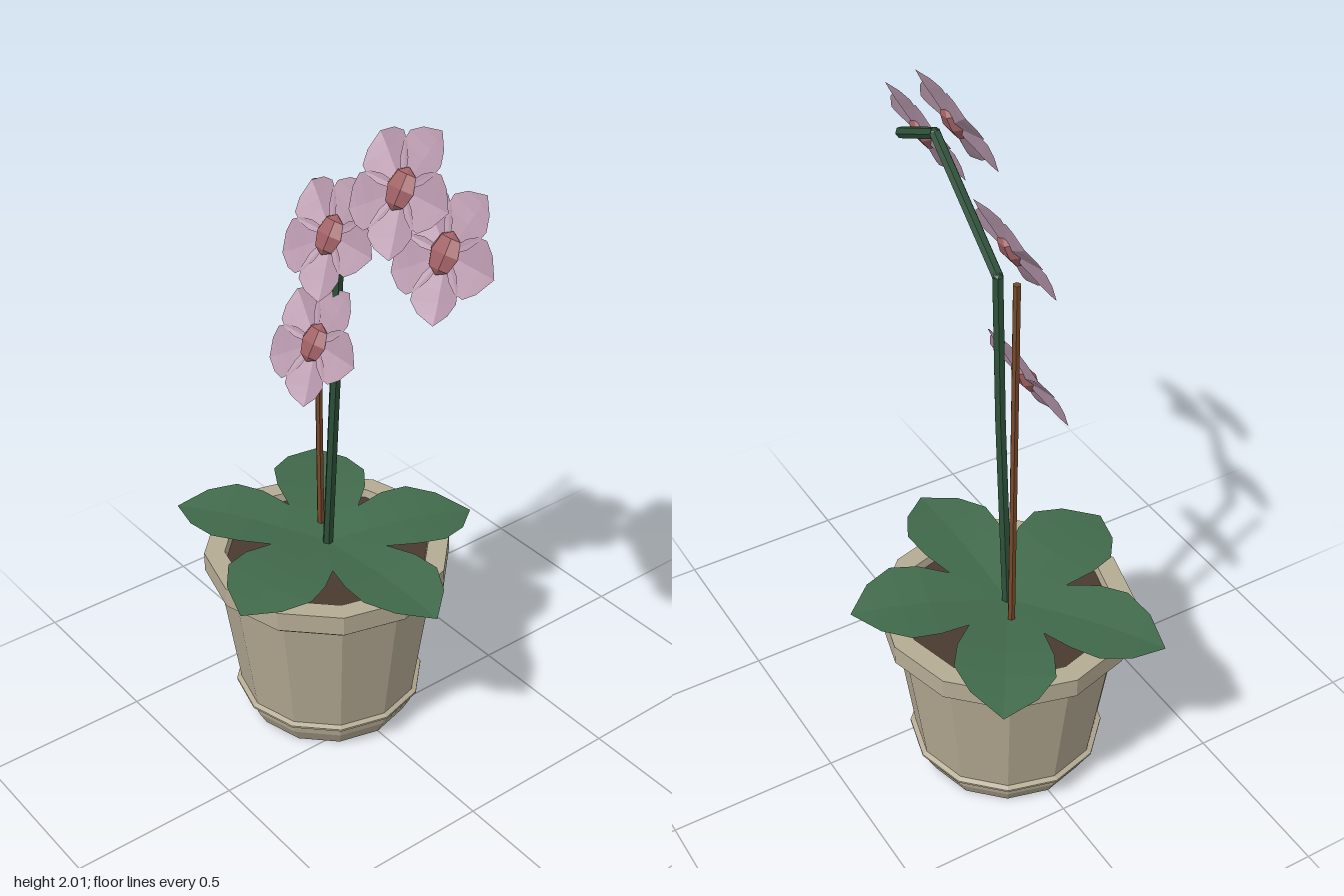
import * as THREE from 'three';

const mat = (color, side = THREE.FrontSide) =>
  new THREE.MeshStandardMaterial({ color, side, flatShading: true });

const potMat = mat(0xb5ab94);
const soilMat = mat(0x4a3a30);
const leafMat = mat(0x416a4b, THREE.DoubleSide);
const petalMat = mat(0xb697ab, THREE.DoubleSide);
const heartMat = mat(0xa06064);
const stemMat = mat(0x2d5039);
const stakeMat = mat(0x76492b);

const POT_X = -0.177;

function add(parent, name, geometry, material) {
  const mesh = new THREE.Mesh(geometry, material);
  mesh.name = name;
  parent.add(mesh);
  return mesh;
}

// Arched blade along +x with a folded midrib, used for leaves and petals
const ALONG = [0, 0.15, 0.3, 0.5, 0.68, 0.85, 1];
const WIDTH = [0.03, 0.42, 0.74, 0.96, 1, 0.66, 0];
const RISE = [0, 0.025, 0.045, 0.066, 0.07, 0.058, 0.036];

function bladeGeometry(length, halfWidth, fold) {
  const geo = new THREE.PlaneGeometry(1, 1, 4, ALONG.length - 1);
  const p = geo.attributes.position;
  for (let i = 0; i < p.count; i++) {
    const row = Math.floor(i / 5);
    const side = (i % 5) / 2 - 1;
    const lift = fold * WIDTH[row] * (Math.abs(side) - 0.6);
    p.setXYZ(i, ALONG[row] * length, RISE[row] * length + lift, side * WIDTH[row] * halfWidth);
  }
  geo.computeVertexNormals();
  return geo;
}

// Five blades spread evenly around a centre
function rosette(parent, name, geometry, material) {
  for (let i = 0; i < 5; i++) {
    add(parent, name, geometry, material).rotation.y = (i * Math.PI * 2) / 5;
  }
}

// Straight rod between two points
function rod(parent, name, a, b, radius, material) {
  const dir = b.clone().sub(a);
  const mesh = add(parent, name, new THREE.CylinderGeometry(radius, radius, dir.length(), 6), material);
  mesh.position.copy(a).add(b).multiplyScalar(0.5);
  mesh.quaternion.setFromUnitVectors(new THREE.Vector3(0, 1, 0), dir.normalize());
}

function createPot() {
  const pot = new THREE.Group();
  pot.name = 'pot';
  pot.position.x = POT_X;
  // Foot, ring, tapered wall, rim and inner lip
  const profile = [
    [0, 0], [0.24, 0], [0.264, 0.045], [0.269, 0.073], [0.284, 0.078], [0.284, 0.084],
    [0.27, 0.09], [0.325, 0.478], [0.344, 0.484], [0.348, 0.496], [0.363, 0.5],
    [0.363, 0.56], [0.303, 0.56], [0.296, 0.525],
  ].map(([r, y]) => new THREE.Vector2(r, y));
  add(pot, 'potBody', new THREE.LatheGeometry(profile, 12), potMat);
  const soil = add(pot, 'soil', new THREE.CircleGeometry(0.3, 12), soilMat);
  soil.rotation.x = -Math.PI / 2;
  soil.position.y = 0.535;
  return pot;
}

function createFlower(x, y, petalGeo) {
  const flower = new THREE.Group();
  flower.name = 'flower';
  flower.position.set(x, y, 0.07);
  flower.rotation.x = Math.PI / 2 - 0.5;
  rosette(flower, 'petal', petalGeo, petalMat);
  const heart = add(flower, 'flowerHeart', new THREE.SphereGeometry(1, 6, 4), heartMat);
  heart.rotation.x = Math.PI / 2;
  heart.scale.set(0.048, 0.056, 0.026);
  heart.position.y = 0.008;
  return flower;
}

export function createModel() {
  const model = new THREE.Group();
  model.name = 'pottedFlower';
  model.add(createPot());

  // Leaves spreading over the rim
  const leaves = new THREE.Group();
  leaves.name = 'leaves';
  leaves.position.set(POT_X, 0.566, 0);
  leaves.scale.z = 0.88;
  rosette(leaves, 'leaf', bladeGeometry(0.5, 0.15, 0.014), leafMat);
  model.add(leaves);

  // Arching stem
  const stem = new THREE.Group();
  stem.name = 'stem';
  const path = [[-0.178, 0.53], [-0.13, 1.17], [-0.11, 1.61], [0.2, 1.868], [0.385, 1.785]]
    .map(([x, y]) => new THREE.Vector3(x, y, 0));
  for (let i = 1; i < path.length; i++) {
    rod(stem, 'stemSegment', path[i - 1], path[i], 0.016, stemMat);
    if (i < path.length - 1) {
      add(stem, 'stemJoint', new THREE.IcosahedronGeometry(0.016, 0), stemMat).position.copy(path[i]);
    }
  }
  model.add(stem);

  // Support stake
  rod(model, 'stake', new THREE.Vector3(-0.258, 0.53, -0.036),
    new THREE.Vector3(-0.258, 1.68, -0.036), 0.011, stakeMat);

  // Flowers along the stem
  const petalGeo = bladeGeometry(0.175, 0.074, 0.018);
  for (const [x, y] of [[-0.124, 1.28], [-0.05, 1.628], [0.235, 1.858], [0.401, 1.752]]) {
    model.add(createFlower(x, y, petalGeo));
  }
  return model;
}
